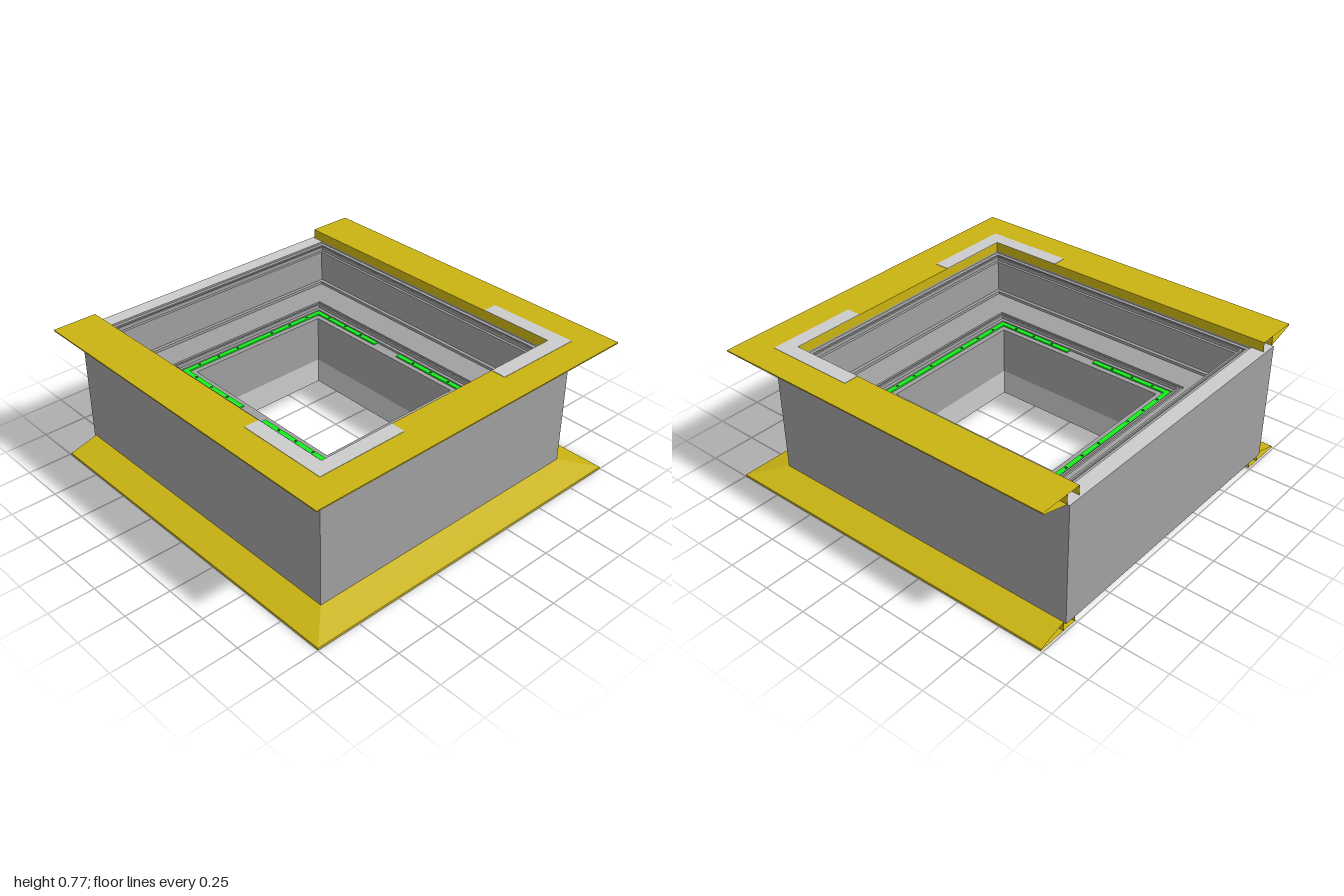
import * as THREE from 'three';

const HEIGHT = 0.775, BACK = 0.165; // the body reaches further back than forward
const mat = (color) => new THREE.MeshStandardMaterial({ color, flatShading: true, side: THREE.DoubleSide });

// Corner paths, as functions of the distance h from the centre line
const RING = [h => [-h, -h - BACK], h => [-h, h], h => [h, h], h => [h, -h - BACK], h => [-h, -h - BACK]];
const U_PATH = [h => [-h, -0.99], h => [-h, h], h => [h, h], h => [h, -0.99]];

// Sweep a [distance, height] profile around mitred corners
function sweep(name, path, profile, material) {
  const pos = [];
  for (let s = 0; s < path.length - 1; s++) {
    for (let i = 0; i < profile.length - 1; i++) {
      const at = (station, [h, y]) => { const [x, z] = station(h); return [x, y, z]; };
      const a = at(path[s], profile[i]), b = at(path[s + 1], profile[i]);
      const c = at(path[s + 1], profile[i + 1]), d = at(path[s], profile[i + 1]);
      pos.push(...a, ...b, ...c, ...a, ...c, ...d);
    }
  }
  const geo = new THREE.BufferGeometry();
  geo.setAttribute('position', new THREE.Float32BufferAttribute(pos, 3));
  geo.computeVertexNormals();
  const mesh = new THREE.Mesh(geo, material);
  mesh.name = name;
  return mesh;
}

const flip = (profile) => profile.map(([h, y]) => [h, HEIGHT - y]).reverse();

export function createModel() {
  const model = new THREE.Group();
  const light = mat(0xcccccc), grey = mat(0xa0a0a0), yellow = mat(0xcab312);
  const green = mat(0x14ee1c), dark = mat(0x303030);

  const box = (parent, name, x0, x1, y0, y1, z0, z1, material) => {
    const mesh = new THREE.Mesh(new THREE.BoxGeometry(x1 - x0, y1 - y0, z1 - z0), material);
    mesh.position.set((x0 + x1) / 2, (y0 + y1) / 2, (z0 + z1) / 2);
    mesh.name = name;
    parent.add(mesh);
  };

  // Housing: outer walls, light rim, stepped well, throat and underside
  const body = new THREE.Group();
  body.name = 'housing';
  body.add(
    sweep('outerWalls', RING, [[0.837, 0.05], [0.837, 0.72]], grey),
    sweep('topRim', RING, [[0.837, 0.72], [0.755, 0.72]], light),
    sweep('steppedWell', RING, [
      [0.755, 0.72], [0.755, 0.71], [0.735, 0.71], [0.735, 0.7], [0.725, 0.7], [0.725, 0.71],
      [0.715, 0.71], [0.715, 0.69], [0.7, 0.69], [0.7, 0.515], [0.68, 0.515], [0.68, 0.5],
      [0.525, 0.5], [0.525, 0.49], [0.51, 0.49], [0.51, 0.5], [0.5, 0.5], [0.5, 0.48],
      [0.482, 0.48], [0.482, 0.468], [0.425, 0.468], [0.425, 0.2]], grey),
    sweep('throatLining', RING, [[0.425, 0.2], [0.425, 0.055], [0.5, 0.055]], light),
    sweep('underside', RING, [[0.5, 0.055], [0.5, 0.05], [0.837, 0.05]], grey),
  );
  model.add(body);

  // Hollow flanges around the front and both sides, above and below
  const flange = [[0.837, 0.72], [0.998, 0.764], [1, 0.773], [0.755, 0.773], [0.755, 0.72]];
  const web = [[0.837, 0.72], [0.837, 0.773]];
  model.add(
    sweep('topFlange', U_PATH, flange, yellow),
    sweep('topFlangeWeb', U_PATH, web, yellow),
    sweep('bottomFlange', U_PATH, flip(flange), yellow),
    sweep('bottomFlangeWeb', U_PATH, flip(web), yellow),
  );

  // L-shaped corner plates set into the flanges
  const ell = new THREE.Shape([[0.838, 0.838], [0.335, 0.838], [0.335, 0.755], [0.755, 0.755],
    [0.755, 0.335], [0.838, 0.335]].map(([x, z]) => new THREE.Vector2(x, z)));
  for (const side of [-1, 1]) {
    for (const [level, y] of [['top', HEIGHT], ['bottom', 0.004]]) {
      const shape = new THREE.Shape(ell.getPoints().map(p => new THREE.Vector2(side * p.x, p.y)));
      const plate = new THREE.Mesh(new THREE.ExtrudeGeometry(shape, { depth: 0.004, bevelEnabled: false }), light);
      plate.rotation.x = Math.PI / 2;
      plate.position.y = y;
      plate.name = level + 'CornerPlate';
      model.add(plate);
    }
  }

  // Green strips on the throat ledge, with a gap halfway along each side
  const strips = new THREE.Group();
  strips.name = 'greenStrips';
  const y0 = 0.466, y1 = 0.476;
  box(strips, 'frontStrip', -0.48, 0.48, y0, y1, 0.452, 0.478, green);
  box(strips, 'backStrip', -0.48, 0.48, y0, y1, -0.643, -0.617, green);
  const screws = [];
  for (const x of [0.12, 0.25, 0.375]) {
    for (const s of [-1, 1]) screws.push([s * x, 0.465], [s * x, -0.63]);
  }
  for (const s of [-1, 1]) {
    const [a, b] = s < 0 ? [-0.478, -0.452] : [0.452, 0.478];
    box(strips, 'sideStripFront', a, b, y0, y1, 0.005, 0.452, green);
    box(strips, 'sideStripBack', a, b, y0, y1, -0.617, -0.165, green);
    for (const z of [-0.54, -0.41, -0.285, 0.12, 0.245, 0.37]) screws.push([s * 0.465, z]);
  }
  for (const [x, z] of screws) {
    const screw = new THREE.Mesh(new THREE.CylinderGeometry(0.007, 0.007, 0.004, 10), dark);
    screw.position.set(x, y1, z);
    screw.name = 'stripScrew';
    strips.add(screw);
  }
  model.add(strips);
  return model;
}
